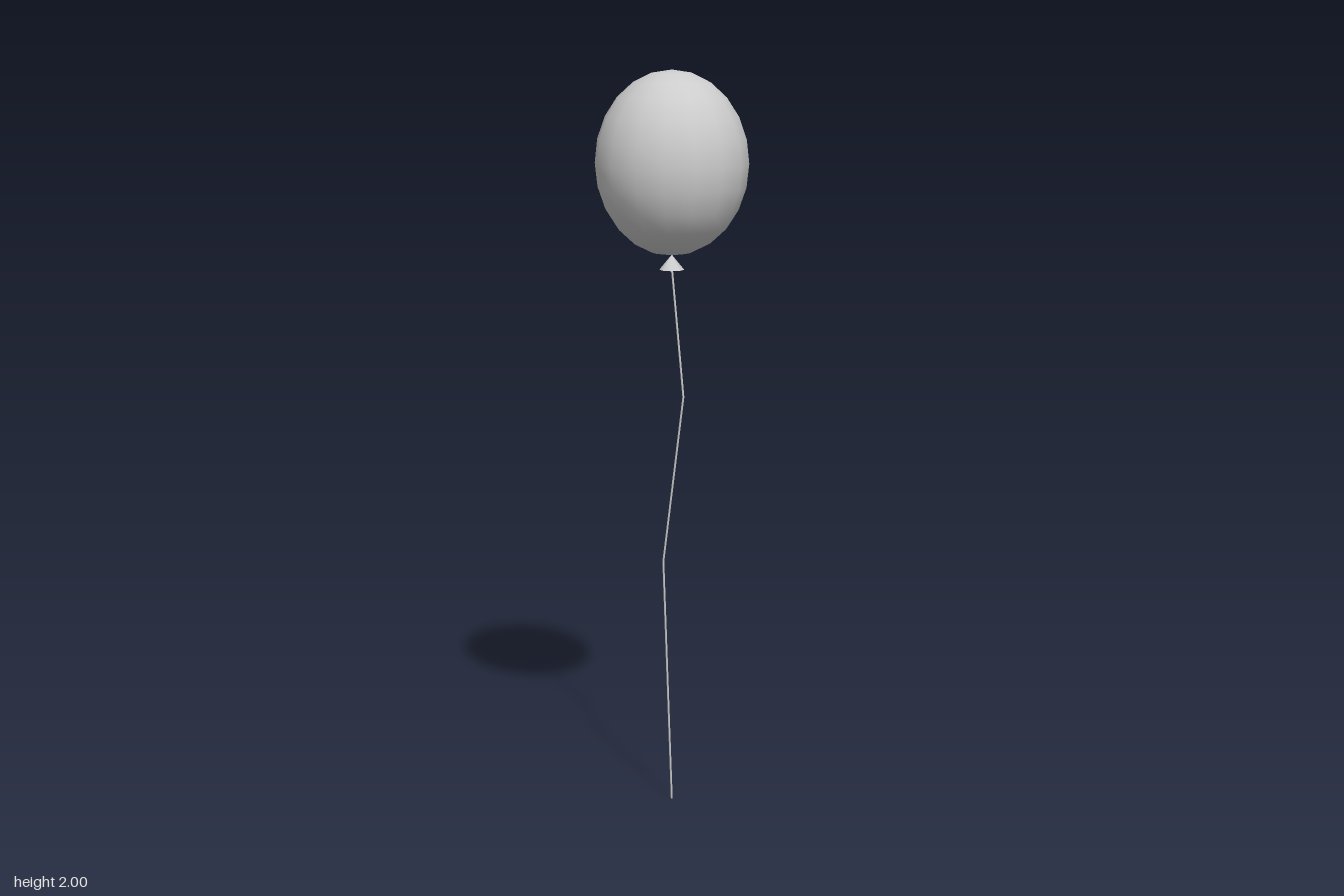
import * as THREE from 'three';

export function createModel() {
  const model = new THREE.Group();
  const grey = new THREE.MeshStandardMaterial({ color: 0xcccccc });
  grey.name = 'light grey';

  const add = (name, geometry) => {
    const mesh = new THREE.Mesh(geometry, grey);
    mesh.name = name;
    model.add(mesh);
    return mesh;
  };

  // Balloon: a slightly tall sphere
  const balloon = add('balloon', new THREE.SphereGeometry(1, 16, 12));
  balloon.scale.set(0.203, 0.242, 0.203);
  balloon.position.y = 1.758;

  // Flared knot under the balloon
  const knot = add('knot', new THREE.ConeGeometry(0.033, 0.04, 8));
  knot.position.y = 1.498;

  // String: straight thin pieces joining a few bends
  const bends = [
    [0, 0, 0], [-0.023, 0.68, 0], [0.033, 1.14, 0.022], [0, 1.485, 0],
  ].map((p) => new THREE.Vector3(...p));
  const up = new THREE.Vector3(0, 1, 0);
  for (let i = 0; i < bends.length - 1; i++) {
    const along = bends[i + 1].clone().sub(bends[i]);
    const piece = add(`string${i + 1}`, new THREE.CylinderGeometry(0.003, 0.003, along.length(), 6));
    piece.position.copy(bends[i]).addScaledVector(along, 0.5);
    piece.quaternion.setFromUnitVectors(up, along.normalize());
  }

  return model;
}
